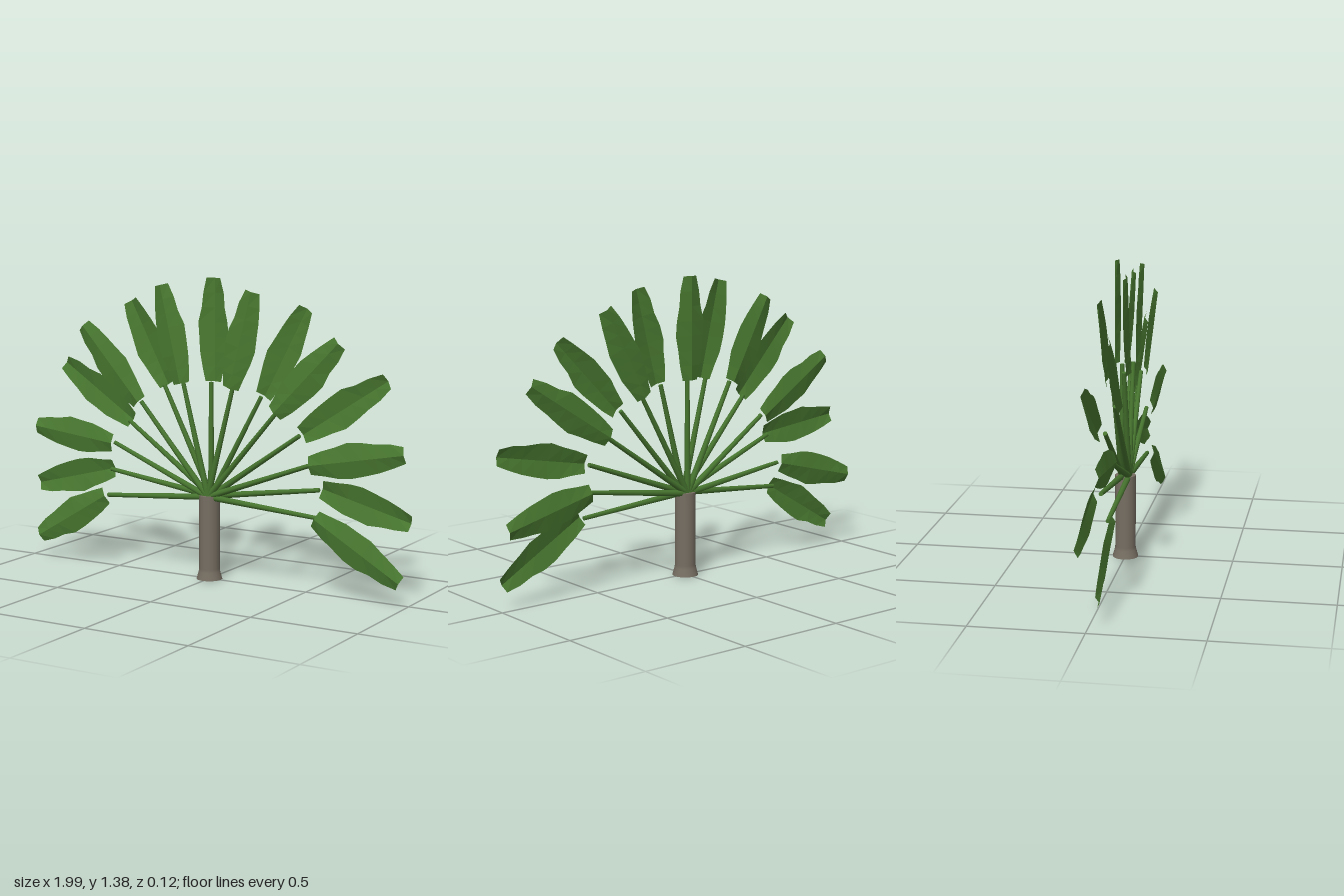
import * as THREE from 'three';

const bark = new THREE.MeshStandardMaterial({ color: 0x766e62 });
const stemGreen = new THREE.MeshStandardMaterial({ color: 0x47752f });
const leafGreen = new THREE.MeshStandardMaterial({ color: 0x4a7a31 });
bark.name = 'bark';
stemGreen.name = 'stemGreen';
leafGreen.name = 'leafGreen';
leafGreen.side = THREE.DoubleSide;
leafGreen.flatShading = true;

// Fan layout, +x to -x neutral order: blade base x, y and blade tip x, y
const FAN = [
  [-0.55, 0.34, -0.935, 0.11], [-0.55, 0.46, -0.99, 0.35], [-0.51, 0.595, -0.945, 0.645],
  [-0.445, 0.70, -0.825, 0.95], [-0.36, 0.80, -0.665, 1.14], [-0.25, 0.88, -0.45, 1.26],
  [-0.13, 0.90, -0.235, 1.345], [0, 0.91, 0, 1.38], [0.13, 0.895, 0.24, 1.33],
  [0.26, 0.86, 0.47, 1.26], [0.355, 0.80, 0.67, 1.125], [0.455, 0.70, 0.865, 0.965],
  [0.53, 0.58, 0.985, 0.665], [0.555, 0.465, 0.985, 0.355], [0.56, 0.345, 0.97, 0.105],
];

// Half width of a blade along its length
const WIDTHS = [0.041, 0.056, 0.069, 0.077, 0.075, 0.062, 0.053, 0.036];

// Folded blade: a raised midrib with a sloping half on each side
function bladeGeometry([bx, by, tx, ty], side, index) {
  const along = new THREE.Vector2(tx - bx, ty - by);
  const across = new THREE.Vector2(along.y, -along.x).normalize();
  const last = WIDTHS.length - 1;
  const positions = [], faces = [];
  WIDTHS.forEach((w, i) => {
    const t = i / last;
    const cx = bx + along.x * t, cy = by + along.y * t;
    for (const k of [-1, 0, 1]) {
      const ripple = 0.004 * Math.sin(i * 2.3 + index * 1.7 + k) * Math.sin(Math.PI * t);
      const d = k * (w + ripple);
      positions.push(cx + across.x * d, cy + across.y * d, side * (k === 0 ? 0.048 : 0.033));
    }
    if (i === last) return;
    for (const j of [0, 1]) {
      const a = i * 3 + j, b = a + 1, c = a + 3, e = a + 4;
      if (side > 0) faces.push(a, b, e, a, e, c);
      else faces.push(a, e, b, a, c, e);
    }
  });
  const geometry = new THREE.BufferGeometry();
  geometry.setAttribute('position', new THREE.Float32BufferAttribute(positions, 3));
  geometry.setIndex(faces);
  geometry.computeVertexNormals();
  return geometry;
}

// Tapered stalk running from the crown to the blade base
function makeStalk([bx, by], z) {
  const from = new THREE.Vector3(0, 0.385, z);
  const to = new THREE.Vector3(bx, by, z);
  const dir = to.clone().sub(from);
  const stalk = new THREE.Mesh(new THREE.CylinderGeometry(0.01, 0.015, dir.length(), 8), stemGreen);
  stalk.position.copy(from).add(to).multiplyScalar(0.5);
  stalk.quaternion.setFromUnitVectors(new THREE.Vector3(0, 1, 0), dir.normalize());
  stalk.name = 'leafStalk';
  return stalk;
}

export function createModel() {
  const palm = new THREE.Group();
  palm.name = 'fanPalm';

  // Trunk with a flared foot, closed at both ends
  const profile = [[0, 0], [0.06, 0], [0.06, 0], [0.05, 0.035], [0.048, 0.05], [0.048, 0.39], [0.048, 0.39], [0, 0.39]];
  const trunk = new THREE.Mesh(
    new THREE.LatheGeometry(profile.map(([r, y]) => new THREE.Vector2(r, y)), 16), bark);
  trunk.name = 'trunk';
  palm.add(trunk);

  // Leaves alternate between the front and back layers
  FAN.forEach((spec, i) => {
    const side = i % 2 === 0 ? 1 : -1;
    const leaf = new THREE.Group();
    leaf.name = 'leaf';
    const blade = new THREE.Mesh(bladeGeometry(spec, side, i), leafGreen);
    blade.name = 'leafBlade';
    leaf.add(makeStalk(spec, side * 0.015), blade);
    palm.add(leaf);
  });

  return palm;
}
